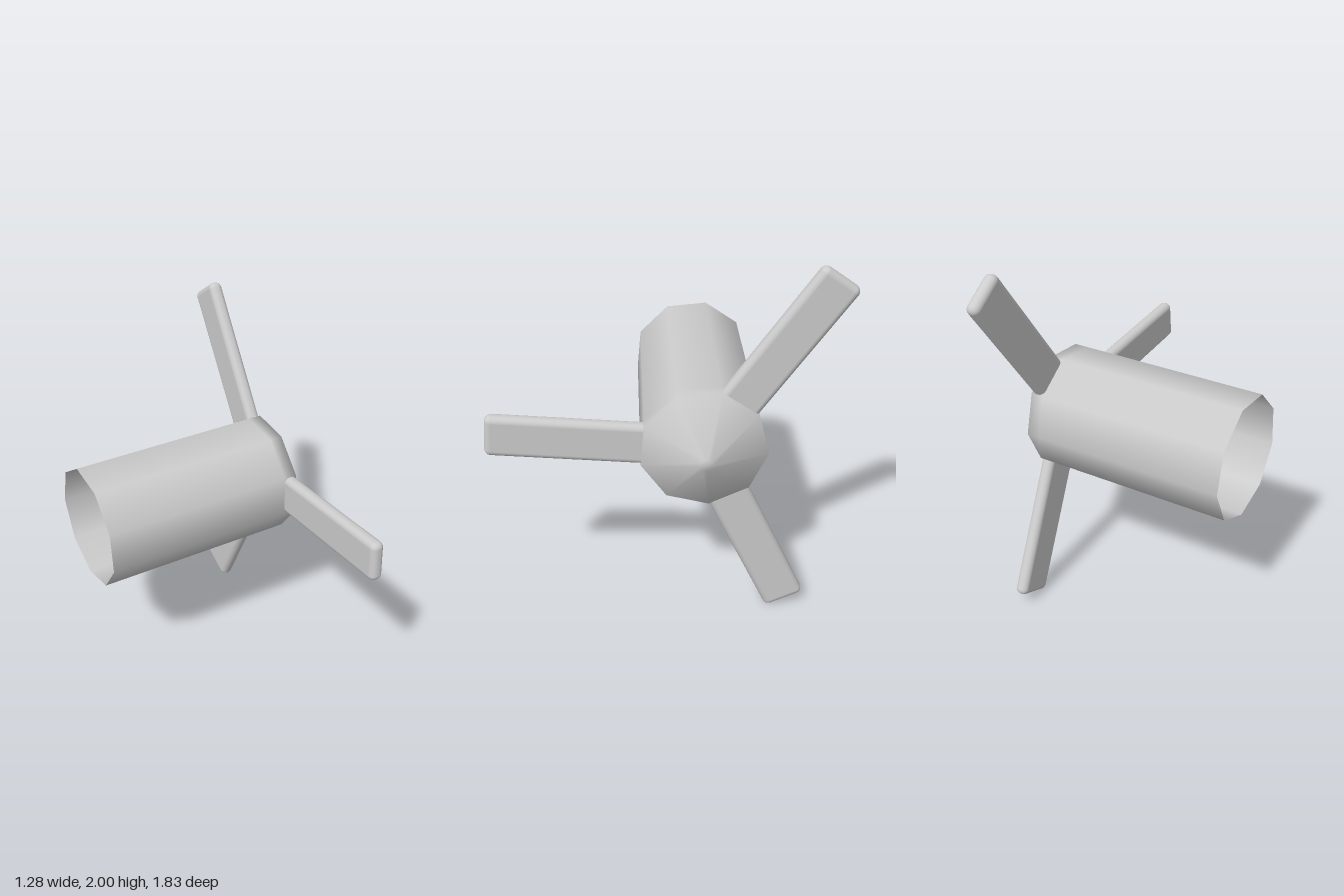
import * as THREE from 'three';
import { RoundedBoxGeometry } from 'three/addons/geometries/RoundedBoxGeometry.js';

const SIDES = 9;
const RADIUS = 0.335;
const BLADE_ANGLE = THREE.MathUtils.degToRad(55.2);
const ROOT = 0.316; // just outside the flat faces of the nine-sided hub
const TIP = 1.11;

// Rounded slab along +y, with its inner end cut flat where it meets the hub
function bladeGeometry() {
  const start = 0.27;
  const geometry = new RoundedBoxGeometry(0.075, TIP - start, 0.227, 4, 0.034);
  geometry.translate(0, (TIP + start) / 2, 0);
  const p = geometry.attributes.position;
  for (let i = 0; i < p.count; i++) p.setY(i, Math.max(p.getY(i), ROOT));
  return geometry;
}

export function createModel() {
  const model = new THREE.Group();
  model.name = 'propeller';
  model.position.set(0, 1.043, -0.198);
  const material = new THREE.MeshStandardMaterial({ color: 0xcccccc });
  const shellMaterial = new THREE.MeshStandardMaterial({ color: 0xcccccc, side: THREE.DoubleSide });

  // Hollow nine-sided barrel, open at the back, closed by a blunt nose cone
  const profile = [
    [RADIUS, -0.64], [RADIUS, 0.42], [RADIUS, 0.493], [0.033, 0.64], [0, 0.64],
  ].map(([r, h]) => new THREE.Vector2(r, h));
  const phase = Math.PI + BLADE_ANGLE + Math.PI / SIDES;
  const shell = new THREE.LatheGeometry(profile, SIDES, phase);
  shell.rotateZ(-Math.PI / 2);
  const body = new THREE.Mesh(shell, shellMaterial);
  body.name = 'barrelAndNose';
  model.add(body);

  // Three blades on every third face of the hub
  const geometry = bladeGeometry();
  for (let i = 0; i < 3; i++) {
    const blade = new THREE.Mesh(geometry, material);
    blade.name = `blade${i + 1}`;
    blade.position.x = 0.456;
    blade.rotation.x = BLADE_ANGLE - Math.PI / 2 + (i * Math.PI * 2) / 3;
    model.add(blade);
  }

  const root = new THREE.Group();
  root.name = 'model';
  root.add(model);
  return root;
}
